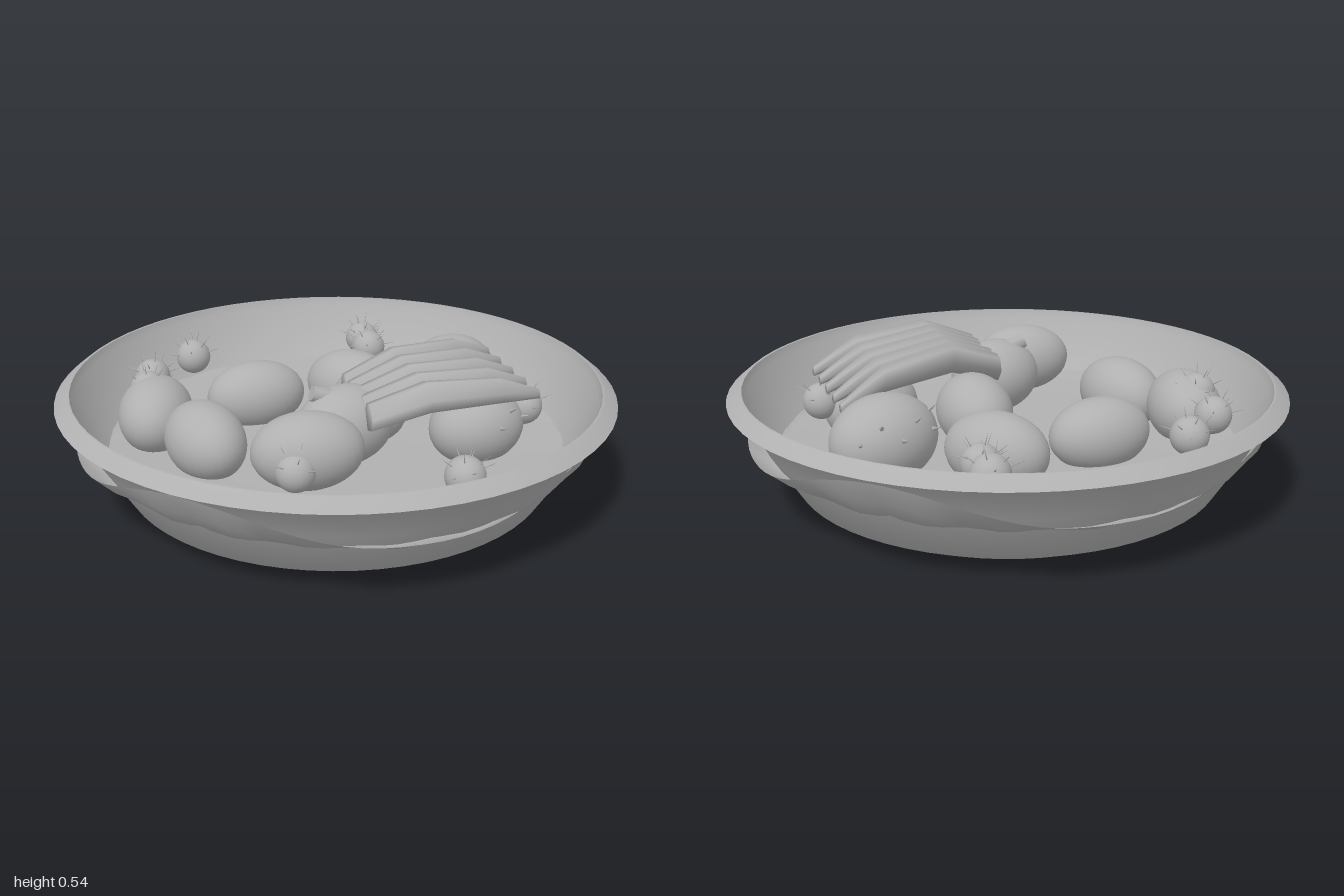
import * as THREE from 'three';

export function createModel() {
  const model = new THREE.Group();
  const grey = new THREE.MeshStandardMaterial({ color: 0xb0b0b0, side: THREE.DoubleSide });
  grey.name = 'grey';

  const add = (geometry, name, parent = model) => {
    const mesh = new THREE.Mesh(geometry, grey);
    mesh.name = name;
    parent.add(mesh);
    return mesh;
  };
  const lathe = (pts, segments = 64) =>
    new THREE.LatheGeometry(pts.map(([r, y]) => new THREE.Vector2(r, y)), segments);

  // Bowl: separate profiles keep the edges between them sharp
  const bowl = new THREE.Group();
  bowl.name = 'bowl';
  model.add(bowl);
  add(lathe([[0, 0], [0.64, 0]]), 'bowlBase', bowl);
  add(lathe([[0.64, 0], [0.775, 0.07], [0.885, 0.25], [0.945, 0.375], [1, 0.388]]), 'bowlOuterWall', bowl);
  add(lathe([[1, 0.388], [0.955, 0.425], [0.945, 0.425]]), 'rimTop', bowl);
  add(lathe([[0.945, 0.425], [0.935, 0.395], [0.82, 0.19], [0.62, 0.05], [0, 0.04]]), 'bowlInnerWall', bowl);

  // Filling: a shallow dished sheet whose edge passes the wall and curls up on the diagonals
  const rows = [[0, 0.175], [0.4, 0.178], [0.65, 0.186], [0.8, 0.198], [0.86, 0.203], [0.9, 0.215], [0.935, 0.235]];
  const lifts = [0, 0, 0, 0, 0.005, 0.065, 0.125];
  const filling = lathe(rows, 96);
  const pos = filling.attributes.position;
  for (let i = 0; i < pos.count; i++) {
    const row = i % rows.length;
    const angle = Math.atan2(pos.getZ(i), pos.getX(i));
    const curl = Math.pow(Math.abs(Math.sin(2 * angle)), 3);
    const [r, y] = rows[row];
    const ripple = row === 4 || row === 5 ? 0.005 * Math.sin(angle * 22) : 0;
    const radius = r + (row > 4 ? 0.022 * curl : 0);
    pos.setXYZ(i, radius * Math.cos(angle), y + lifts[row] * curl + ripple, radius * Math.sin(angle));
  }
  filling.computeVertexNormals();
  add(filling, 'filling');

  // Eggs: x, y, z, half length, half width, turn about y
  const eggs = [
    [-0.235, 0.265, -0.29, 0.19, 0.13, 0.08],
    [0.155, 0.258, -0.305, 0.19, 0.137, -0.82],
    [0.13, 0.3, 0.0, 0.18, 0.135, 1.57],
    [-0.635, 0.28, -0.17, 0.19, 0.135, 1.3],
    [-0.5, 0.27, 0.09, 0.19, 0.135, -1.35],
    [0.515, 0.308, -0.185, 0.2, 0.155, 0.4],
    [-0.22, 0.345, 0.43, 0.19, 0.132, -0.08],
    [-0.04, 0.342, 0.25, 0.18, 0.14, 0.3],
    [0.45, 0.28, 0.25, 0.18, 0.14, 0.2],
  ];
  for (const [x, y, z, a, b, turn] of eggs) {
    const egg = add(new THREE.SphereGeometry(1, 32, 20), 'egg');
    egg.scale.set(a, b, b);
    egg.position.set(x, y, z);
    egg.rotation.y = turn;
  }

  // Stub poking out of one egg
  const stub = add(new THREE.CylinderGeometry(0.028, 0.036, 0.08, 8), 'stub');
  stub.position.set(-0.12, 0.455, 0.25);
  stub.rotation.z = 1.2;

  // Spike pointing along a direction from a base point
  const up = new THREE.Vector3(0, 1, 0);
  const spike = (base, dir, radius, length, parent, name) => {
    const mesh = add(new THREE.ConeGeometry(radius, length, 5), name, parent);
    mesh.quaternion.setFromUnitVectors(up, dir);
    mesh.position.copy(base).addScaledVector(dir, length / 2);
  };

  // Spiny balls: spines spiral over the upper half
  const balls = [
    [-0.425, 0.335, -0.585], [-0.61, 0.33, -0.42], [-0.65, 0.355, -0.23], [0.3, 0.325, -0.645],
    [0.295, 0.32, -0.54], [0.64, 0.325, 0.23], [0.22, 0.325, 0.71], [-0.285, 0.32, 0.525],
  ];
  balls.forEach(([x, y, z], k) => {
    const ball = new THREE.Group();
    ball.name = 'spinyBall';
    ball.position.set(x, y, z);
    add(new THREE.SphereGeometry(0.067, 24, 16), 'ballBody', ball);
    for (let i = 0; i < 11; i++) {
      const h = 0.97 - i * 0.08;
      const a = i * 2.4 + k;
      const s = Math.sqrt(1 - h * h);
      const dir = new THREE.Vector3(s * Math.cos(a), h, s * Math.sin(a));
      spike(dir.clone().multiplyScalar(0.06), dir, 0.003, 0.053, ball, 'spine');
    }
    model.add(ball);
  });

  // Thorns on the two eggs beside the ribs: egg, count, first angle, step
  for (const [index, count, start, step] of [[5, 6, 0.6, 0.4], [8, 5, -1.5, 0.42]]) {
    const [x, y, z, a, b, turn] = eggs[index];
    const radii = new THREE.Vector3(a, b, b);
    for (let i = 0; i < count; i++) {
      const t = start + i * step;
      const h = 0.25 + 0.3 * (i % 2);
      const s = Math.sqrt(1 - h * h);
      const unit = new THREE.Vector3(s * Math.cos(t), h, -s * Math.sin(t));
      const base = unit.clone().multiply(radii).applyAxisAngle(up, turn);
      const dir = unit.clone().divide(radii).normalize().applyAxisAngle(up, turn);
      base.add(new THREE.Vector3(x, y, z)).addScaledVector(dir, -0.008);
      spike(base, dir, 0.01, 0.04, model, 'thorn');
    }
  }

  // Ribs: bent, tapering bars with a soft slanted section that fan out towards the tips
  const section = [[0.2, 1], [1, 0.1], [0.8, -0.7], [-0.2, -1], [-1, -0.1], [-0.7, 0.8]];
  const rib = (stations) => {
    const vertices = [], index = [], n = section.length;
    for (const [x, y, z, w, h] of stations) {
      for (const [sz, sy] of section) vertices.push(x, y + sy * h, z + sz * w);
    }
    for (let s = 0; s < stations.length - 1; s++) {
      for (let j = 0; j < n; j++) {
        const a = s * n + j, b = s * n + (j + 1) % n;
        index.push(a, a + n, b, b, a + n, b + n);
      }
    }
    const last = (stations.length - 1) * n;
    for (let j = 1; j < n - 1; j++) {
      index.push(0, j, j + 1, last, last + j + 1, last + j);
    }
    const geometry = new THREE.BufferGeometry();
    geometry.setAttribute('position', new THREE.Float32BufferAttribute(vertices, 3));
    geometry.setIndex(index);
    geometry.computeVertexNormals();
    return geometry;
  };
  for (let i = 0; i < 5; i++) {
    add(rib([
      [0, 0.42, 0.11 + i * 0.071, 0.044, 0.05],
      [0.19, 0.485, 0.08 + i * 0.087, 0.054, 0.055],
      [0.47, 0.465, -0.025 + i * 0.104, 0.047, 0.045],
      [0.645, 0.41, -0.12 + i * 0.112, 0.02, 0.018],
    ]), 'rib');
  }
  return model;
}
